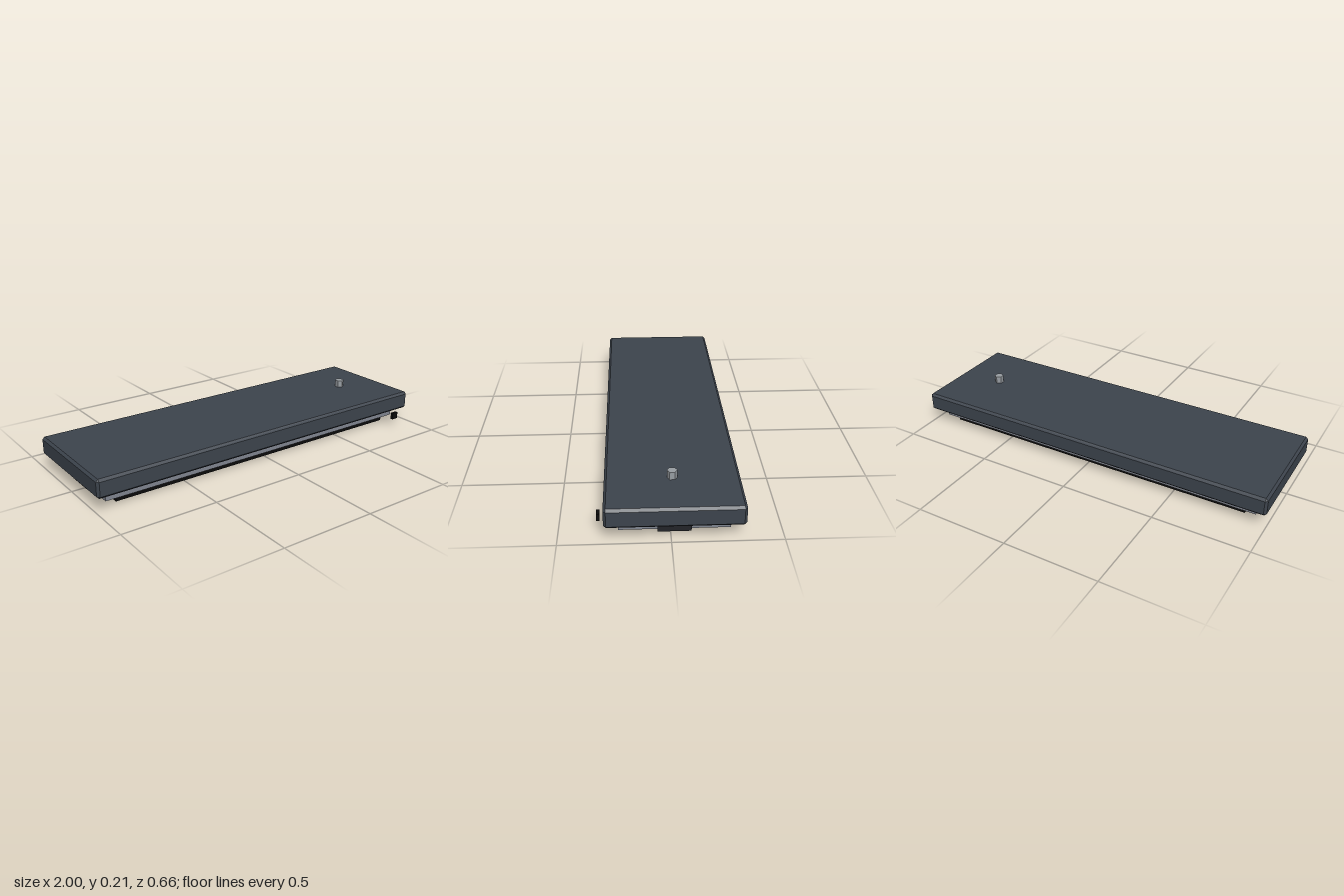
import * as THREE from 'three';
import { ConvexGeometry } from 'three/addons/geometries/ConvexGeometry.js';

const material = (color) => new THREE.MeshStandardMaterial({ color, flatShading: true });

// Box with all twelve edges cut by a flat chamfer
function chamferedBox(w, h, d, c) {
  const points = [];
  for (const x of [-1, 1]) for (const y of [-1, 1]) for (const z of [-1, 1]) {
    for (let axis = 0; axis < 3; axis++) {
      // Each corner becomes three points, each touching one face
      const inset = [c, c, c];
      inset[axis] = 0;
      points.push(new THREE.Vector3(
        x * (w / 2 - inset[0]), y * (h / 2 - inset[1]), z * (d / 2 - inset[2])));
    }
  }
  return new ConvexGeometry(points);
}

export function createModel() {
  const group = new THREE.Group();
  const casing = material(0x3d444d);
  const metal = material(0x808590);
  const dark = material(0x222428);
  const black = material(0x0b0b0b);
  const pinMetal = material(0x999ea3);

  const midZ = -0.0165;

  function add(name, geometry, mat, x, y, z) {
    const mesh = new THREE.Mesh(geometry, mat);
    mesh.name = name;
    mesh.position.set(x, y, z);
    group.add(mesh);
  }
  // Box placed by its vertical extent
  function addBox(name, mat, w, y0, y1, d, x, z) {
    add(name, new THREE.BoxGeometry(w, y1 - y0, d), mat, x, (y0 + y1) / 2, z);
  }

  // Wide chamfered top slab
  add('topSlab', chamferedBox(2, 0.098, 0.624, 0.012), casing, 0, 0.126, midZ);

  // Plate under the slab, with a spine slightly longer and lower than it
  addBox('basePlate', metal, 1.87, 0.027, 0.085, 0.5, 0, midZ);
  addBox('spine', dark, 1.894, 0.021, 0.084, 0.15, 0, midZ);

  // Five parallel runners on the underside
  for (let i = -2; i <= 2; i++) {
    addBox('runner', black, 1.75, 0, 0.028, 0.0625, 0, -0.0155 + i * 0.1);
  }

  // Hexagonal pin on top
  add('topPin', new THREE.CylinderGeometry(0.0245, 0.0245, 0.043, 6), pinMetal, 0.747, 0.1925, -0.0155);

  // Small block standing off the front edge
  addBox('frontTab', black, 0.0375, 0.045, 0.082, 0.015, 0.872, 0.3225);

  return group;
}
